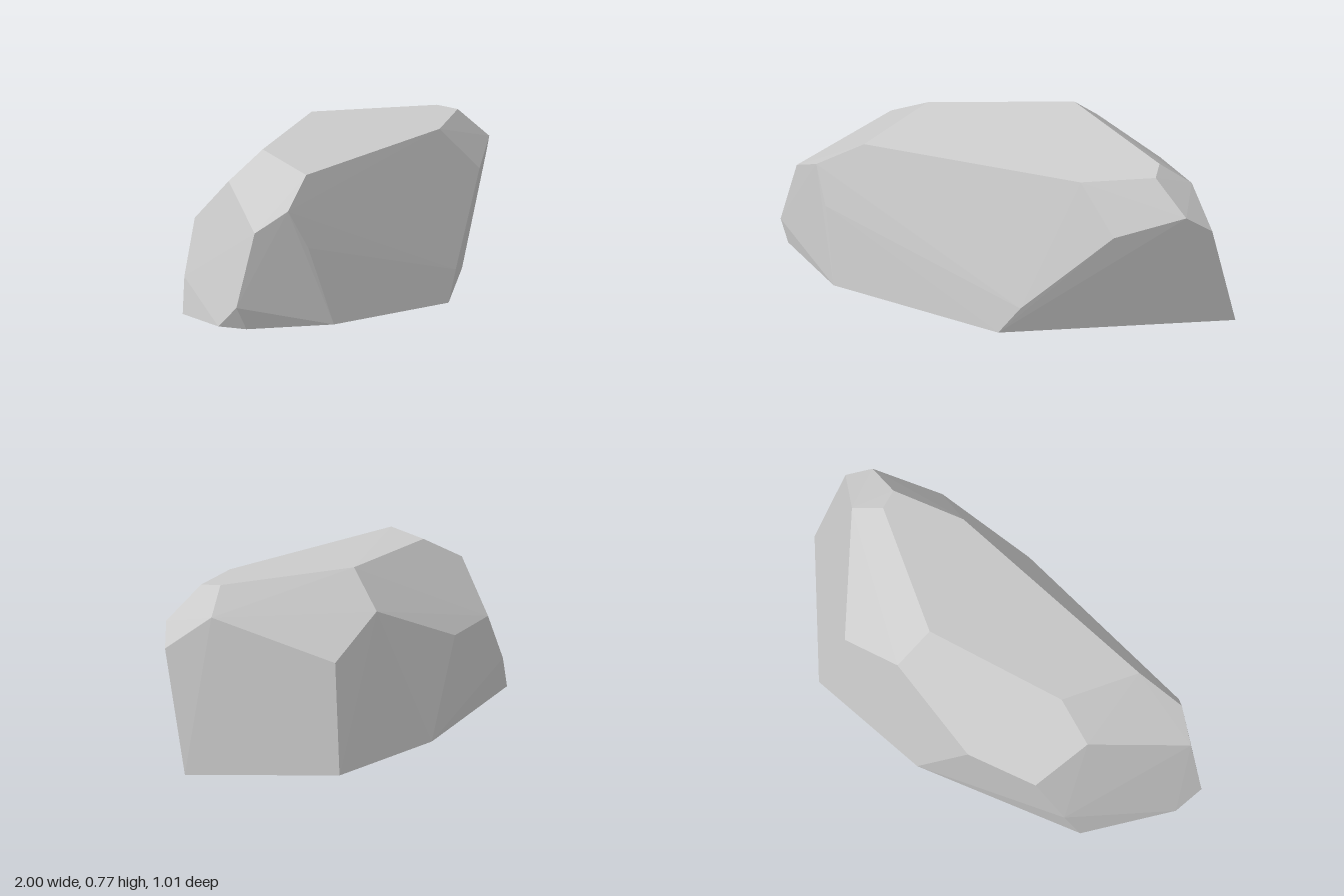
import * as THREE from 'three';
import { ConvexGeometry } from 'three/addons/geometries/ConvexGeometry.js';

// Corners of the faceted boulder, ring by ring
const base = [
  [1, 0.005, -0.045], [0.535, 0, -0.505], [-0.03, 0.01, -0.495], [-0.74, 0.02, -0.24],
  [-0.965, 0.03, 0.11], [-0.955, 0.03, 0.25], [-0.635, 0.03, 0.475], [0.15, 0.022, 0.503],
];
const sides = [
  [-1, 0.125, 0.23], [-0.68, 0.17, -0.275], [0.24, 0.15, 0.475], [-0.71, 0.36, 0.395],
];
const shoulders = [
  [0.965, 0.525, 0.108], [0.88, 0.61, 0.185], [0.61, 0.52, 0.33], [-0.78, 0.52, 0.34],
  [-0.91, 0.435, 0.26], [-0.55, 0.4, -0.315], [-0.25, 0.412, -0.415], [0.47, 0.465, -0.415],
];
const crown = [
  [0.16, 0.77, -0.22], [0.69, 0.755, 0.05], [0.715, 0.742, 0.14], [0.42, 0.708, 0.26],
  [-0.58, 0.645, 0.29], [-0.44, 0.705, -0.04], [-0.63, 0.59, -0.08], [0.19, 0.62, -0.385],
  [0.81, 0.655, -0.015],
];

export function createModel() {
  const group = new THREE.Group();
  group.name = 'rock';
  const corners = [...base, ...sides, ...shoulders, ...crown].map((p) => new THREE.Vector3(...p));
  const boulder = new THREE.Mesh(
    new ConvexGeometry(corners),
    new THREE.MeshStandardMaterial({ color: 0xcccccc, flatShading: true }),
  );
  boulder.name = 'boulder';
  group.add(boulder);
  return group;
}
